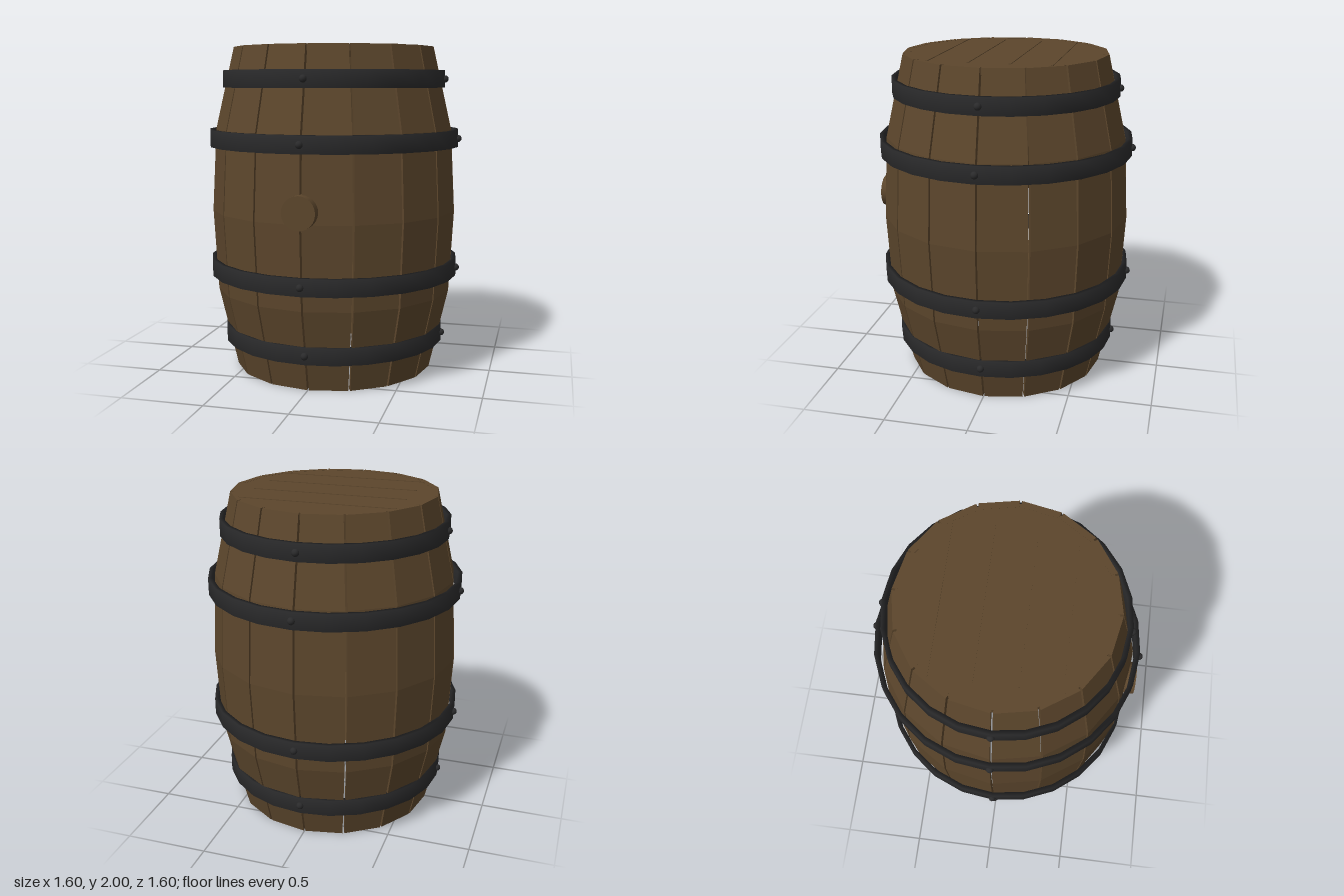
import * as THREE from 'three';

const STAVES = 16;
const HALF_ANGLE = Math.PI / STAVES;
// Outer barrel radius at evenly spaced heights from y = 0 to y = 2
const PROFILE = [0.62, 0.735, 0.762, 0.735, 0.62];
const TOP = 1.997;

// Faceted normals
function faceted(geometry) {
  const g = geometry.toNonIndexed();
  g.computeVertexNormals();
  return g;
}

// One flat-faced plank, bent along the barrel profile and tapered to its joints
function staveGeometry() {
  const steps = PROFILE.length - 1;
  const g = new THREE.BoxGeometry(2, 1, 2, 1, steps, 1);
  const p = g.attributes.position;
  for (let i = 0; i < p.count; i++) {
    const t = p.getY(i) + 0.5;
    const r = PROFILE[Math.round(t * steps)] - (p.getZ(i) < 0 ? 0.04 : 0);
    const halfWidth = r * Math.sin(HALF_ANGLE) - 0.006;
    p.setXYZ(i, p.getX(i) * halfWidth, t * TOP, r * Math.cos(HALF_ANGLE));
  }
  return faceted(g);
}

export function createModel() {
  const wood = new THREE.MeshStandardMaterial({ color: 0x5c462c });
  wood.name = 'brown wood';
  const iron = new THREE.MeshStandardMaterial({ color: 0x2a2a2b });
  iron.name = 'dark iron';

  const barrel = new THREE.Group();
  barrel.name = 'barrel';
  const add = (name, geometry, material, x = 0, y = 0, z = 0, parent = barrel) => {
    const mesh = new THREE.Mesh(geometry, material);
    mesh.name = name;
    mesh.position.set(x, y, z);
    parent.add(mesh);
    return mesh;
  };

  // Staves, with a joint facing straight forward
  const staves = new THREE.Group();
  staves.name = 'staves';
  barrel.add(staves);
  const stave = staveGeometry();
  for (let i = 0; i < STAVES; i++) {
    add('stave', stave, wood, 0, 0, 0, staves).rotation.y = (2 * i + 1) * HALF_ANGLE;
  }

  // Lid flush with the rim, and its raised plank seams
  add('lid', faceted(new THREE.CylinderGeometry(0.6, 0.6, 0.04, STAVES)), wood, 0, TOP - 0.021, 0);
  const seam = new THREE.BoxGeometry(0.93, 0.008, 0.012);
  for (const z of [-0.36, -0.125, 0.115, 0.355]) add('lidSeam', seam, wood, 0, 1.996, z);

  // Iron hoops, each with four rivets
  const rivet = new THREE.SphereGeometry(0.022, 12, 8);
  for (const [y, r] of [[0.227, 0.692], [0.648, 0.777], [1.445, 0.777], [1.803, 0.692]]) {
    const inner = r - 0.026, h = 0.052;
    const section = [[inner, -h], [r, -h], [r, h], [inner, h], [inner, -h]]
      .map(([a, b]) => new THREE.Vector2(a, b));
    const hoop = new THREE.Group();
    hoop.name = 'hoop';
    hoop.position.y = y;
    barrel.add(hoop);
    add('hoopBand', new THREE.LatheGeometry(section, 24), iron, 0, 0, 0, hoop);
    for (let k = 0; k < 4; k++) {
      const a = k * Math.PI / 2;
      add('rivet', rivet, iron, r * Math.sin(a), 0, r * Math.cos(a), hoop);
    }
  }

  // Bung plug on the front
  add('bung', new THREE.CylinderGeometry(0.098, 0.098, 0.1, 24), wood, 0, 1.07, 0.753)
    .rotation.x = Math.PI / 2;

  return barrel;
}
